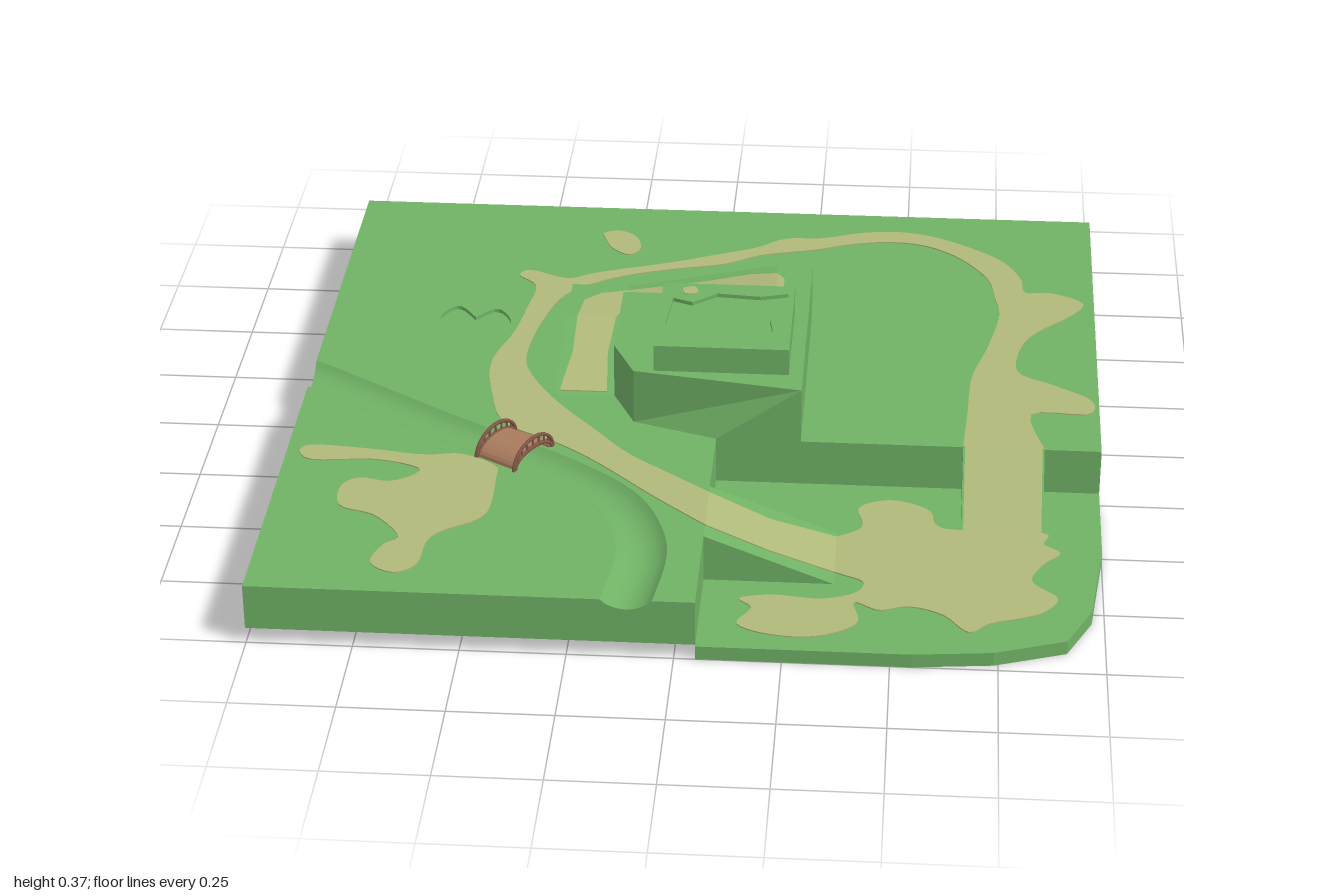
import * as THREE from 'three';

const mat = (name, color) => new THREE.MeshStandardMaterial({ name, color, side: THREE.DoubleSide });
const grass = mat('grass', 0x70b265);
const sand = mat('sand', 0xb0b97a);
const deckWood = mat('deck wood', 0xa97b5d);
const railWood = mat('rail wood', 0x835745);

const TOP = 0.155, LOW = 0.035, SKIRT = 0.04, TIER = 0.3, PEAK = 0.37, LEDGE = 0.225;

// Flat list of hundredths -> plan points (x, z)
const plan = (a) => {
  const out = [];
  for (let i = 0; i < a.length; i += 2) out.push(new THREE.Vector2(a[i] / 100, a[i + 1] / 100));
  return out;
};
const smooth = (a) => {
  const p = plan(a);
  return new THREE.SplineCurve(p).getPoints(p.length * 4);
};
const blob = (a) => smooth([...a, a[0], a[1]]).slice(0, -1);
const at = (pts, y) => pts.map((p) => new THREE.Vector3(p.x, y, p.y));

export function createModel() {
  const model = new THREE.Group();
  model.name = 'terrain';

  const add = (name, geometry, material, parent = model) => {
    const m = new THREE.Mesh(geometry, material);
    m.name = name;
    parent.add(m);
    return m;
  };

  // Horizontal sheet with optional holes
  const sheet = (name, pts, y, holes = []) => {
    const s = new THREE.Shape(pts);
    s.holes = holes.map((h) => new THREE.Path(h));
    add(name, new THREE.ShapeGeometry(s).rotateX(Math.PI / 2).translate(0, y, 0), grass);
  };

  // Surface between rows of points; flat unless soft
  const loft = (name, rows, soft = false) => {
    const n = rows[0].length, index = [];
    for (let r = 0; r < rows.length - 1; r++) {
      for (let i = 0; i < n - 1; i++) {
        const a = r * n + i, b = a + n;
        index.push(a, b, a + 1, a + 1, b, b + 1);
      }
    }
    let g = new THREE.BufferGeometry().setFromPoints(rows.flat());
    g.setIndex(index);
    if (!soft) g = g.toNonIndexed();
    g.computeVertexNormals();
    add(name, g, grass);
  };
  const v = (x, y, z) => new THREE.Vector3(x, y, z);
  const wall = (name, top, bottom) =>
    loft(name, [top, top.map((p) => v(p.x, bottom, p.z))]);

  // Thin painted trail lying on a plane y = height(x, z), seen from both sides
  const trail = (name, pts, height) => {
    const g = new THREE.ExtrudeGeometry(new THREE.Shape(pts), { depth: 0.006, bevelEnabled: false });
    g.rotateX(Math.PI / 2).translate(0, 0.003, 0);
    const p = g.attributes.position;
    for (let i = 0; i < p.count; i++) p.setY(i, p.getY(i) + height(p.getX(i), p.getZ(i)));
    g.computeVertexNormals();
    add(name, g, sand);
  };

  // Shallow hollow: floor and rim
  const hollow = (name, pts, y) => {
    sheet(name + 'Floor', pts, y - 0.01);
    wall(name + 'Rim', at([...pts, pts[0]], y), y - 0.01);
  };

  // Stream bed, curved in section
  const centre = new THREE.SplineCurve(plan(
    [-100, -1, -82, 11, -64, 23, -44, 35, -29, 45, -18, 55, -12, 66, -9, 80, -11, 100]));
  const north = [], south = [], steps = 40;
  for (let i = 0; i <= steps; i++) {
    const c = centre.getPoint(i / steps), t = centre.getTangent(i / steps);
    north.push(new THREE.Vector2(c.x + t.y * 0.06, c.y - t.x * 0.06));
    south.push(new THREE.Vector2(c.x - t.y * 0.06, c.y + t.x * 0.06));
  }
  north[0].set(-1, -0.08);
  south[0].set(-1, 0.065);
  north[steps].set(-0.05, 1);
  south[steps].set(-0.17, 1);
  south.forEach((p) => { p.x = Math.max(p.x, -1); p.y = Math.min(p.y, 1); });
  const bed = north.map((n, i) => {
    const row = [];
    for (let k = 0; k <= 10; k++) {
      const t = k / 10, q = n.clone().lerp(south[i], t);
      row.push(v(q.x, TOP - 0.025 * Math.sin(Math.PI * t) ** 0.7, q.y));
    }
    return row;
  });
  loft('streamBed', bed, true);

  // Upper ground on both sides of the stream, left open under the hill
  const pond = blob([-62, -34, -67, -40, -71, -35, -70, -30, -66, -25, -60, -23, -53, -27, -53, -34, -57, -39]);
  sheet('upperGround', [
    ...plan([-100, -100, 100, -100, 100, 25, 26, 25, 26, -41, -37, -41, -37, 5, -22, 5, -16, 18, 5, 25, 5, 100]),
    ...north.slice().reverse()], TOP, [pond]);
  sheet('streamSideGround', [...south, new THREE.Vector2(-1, 1)], TOP);
  hollow('pond', pond, TOP);

  // Outer skirt, dipping where the stream leaves
  wall('outerSkirt', [v(0.05, TOP, 1), ...bed[steps], v(-1, TOP, 1), ...bed[0].slice().reverse(),
    v(-1, TOP, -1), v(1, TOP, -1), v(1, TOP, 0.25)], SKIRT);

  // Lower ground, open under both ramps
  const rim = plan([100, 25, 100, 52, 97, 79, 91, 92, 74, 98, 55, 100, 5, 100]);
  sheet('lowerGround', [
    ...plan([5, 25, 66, 25, 66, 45, 86, 45, 86, 25]), ...rim,
    ...plan([5, 71, 36, 71, 36, 48, 5, 48])], LOW);
  wall('lowerSkirt', at(rim, LOW), 0);
  for (const c of [[5, 100, 5, 71], [5, 48, 5, 25, 66, 25], [86, 25, 100, 25]])
    wall('cliff', at(plan(c), TOP), LOW);

  // Ramps between the two levels
  loft('sideRamp', [[v(0.05, TOP, 0.48), v(0.05, TOP, 0.71)], [v(0.36, LOW, 0.48), v(0.36, LOW, 0.71)]]);
  for (const z of [0.48, 0.71]) wall('sideRampCheek', [v(0.05, TOP, z), v(0.36, LOW, z)], LOW);
  loft('frontRamp', [[v(0.66, TOP, 0.25), v(0.86, TOP, 0.25)], [v(0.66, LOW, 0.45), v(0.86, LOW, 0.45)]]);
  for (const x of [0.66, 0.86]) wall('frontRampCheek', [v(x, TOP, 0.25), v(x, LOW, 0.45)], LOW);

  // Hill: main tier, slanting front, ledge and rising ramps
  const square = plan([-11, -16, 22.5, -16, 22.5, 17.5, -11, 17.5]);
  sheet('hillTier', plan([-22, -23.5, 17, -23.5, 17, -41, 26, -41, 26, 25, -16, 18, -22, 5]), TIER, [square]);
  loft('hillFront', [
    [v(-0.22, TIER, 0.05), v(-0.16, TIER, 0.18), v(0.26, TIER, 0.25), v(0.26, TIER, 0.25)],
    [v(-0.22, TOP, 0.05), v(-0.16, TOP, 0.18), v(0.05, TOP, 0.25), v(0.26, TOP, 0.25)]]);
  wall('hillOuterWall', [v(0.26, TIER, 0.25), v(0.26, TIER, -0.41), v(0.17, TIER, -0.41),
    v(-0.22, LEDGE, -0.41), v(-0.37, LEDGE, -0.41), v(-0.37, LEDGE, -0.235), v(-0.37, TOP, 0.05)], TOP);
  loft('hillInnerWall', [
    [v(0.17, TIER, -0.235), v(-0.22, TIER, -0.235), v(-0.22, TIER, 0.05)],
    [v(0.17, TIER, -0.235), v(-0.22, LEDGE, -0.235), v(-0.22, TOP, 0.05)]]);
  loft('hillBackRamp', [-0.41, -0.235].map((z) =>
    [v(-0.37, LEDGE, z), v(-0.22, LEDGE, z), v(0.17, TIER, z)]));
  loft('hillSideRamp', [-0.37, -0.22].map((x) => [v(x, LEDGE, -0.235), v(x, TOP, 0.05)]));

  // Summit block with a shallow hollow
  const crater = plan([-8, -8, -3, -6, 3, -11, 14, -10, 21, -12, 21, -2, 17, 2, 18, 8, 5, 16, -1, 11, -9, 6]);
  sheet('summit', square, PEAK, [crater]);
  wall('summitWall', at([...square, square[0]], PEAK), TIER);
  hollow('crater', crater, PEAK);

  // Sandy trails
  const flat = (y) => () => y;
  trail('loopTrail', [
    ...smooth([86, 25, 83, 8, 97, 7, 98, 0, 89, -7, 80, -13, 80, -24, 84, -34, 94, -45, 97, -52, 89, -57, 82, -57,
      81, -64, 77, -73, 70, -80, 59, -87, 49, -90, 38, -89, 27, -85, 17, -84, 9, -78, -2, -73, -13, -68, -32, -61,
      -40, -57, -50, -61, -53, -58, -48, -52, -49, -40, -51, -26, -55, -10, -53, 6, -48, 21, -34, 30, -23, 39,
      -8, 54, 5, 66]),
    ...smooth([5, 51, -5, 43, -16, 34, -26, 22, -35, 11, -42, 0, -46, -10, -46, -21, -44, -34, -41, -45, -36, -52,
      -26, -59, -13, -64, 1, -68, 11, -74, 25, -78, 35, -82, 46, -84, 56, -82, 65, -75, 72, -64, 74, -53, 75, -43,
      72, -26, 68, -10, 67, 8, 66, 25])], flat(TOP));
  trail('streamSideTrail', blob([-97, 38, -94, 35, -80, 36, -66, 38, -57, 37, -48, 42, -47, 48, -47, 62, -50, 68,
    -57, 73, -60, 78, -61, 88, -66, 92, -72, 88, -70, 80, -67, 76, -74, 67, -83, 63, -84, 54, -80, 50, -72, 51,
    -66, 45, -77, 41, -93, 42]), flat(TOP));
  trail('sandPatch', blob([-33, -84, -29, -86, -24, -83, -22, -76, -25, -72, -30, -76]), flat(TOP));
  trail('lowerTrail', smooth([36, 50, 42, 45, 41, 36, 49, 32, 58, 36, 60, 43, 66, 45, 86, 45, 86, 50, 90, 54,
    86, 59, 83, 67, 89, 74, 86, 80, 81, 83, 73, 86, 68, 90, 62, 83, 54, 80, 47, 82, 41, 79, 42, 88, 33, 94,
    22, 94, 14, 90, 17, 83, 14, 79, 22, 77, 33, 78, 41, 75, 43, 70, 38, 67, 36, 66]), flat(LOW));
  trail('sideRampTrail', plan([5, 51, 20, 53, 36, 50, 36, 66, 20, 67, 5, 66]),
    (x) => TOP - (TOP - LOW) * (x - 0.05) / 0.31);
  trail('frontRampTrail', plan([66.5, 25, 85.5, 25, 85.5, 45, 66.5, 45]),
    (x, z) => TOP - (TOP - LOW) * (z - 0.25) / 0.2);
  trail('hillSideTrail', plan([-34, -23.5, -34, -10, -36, 4, -24, 4, -25, -10, -24, -23.5]),
    (x, z) => LEDGE - (LEDGE - TOP) * (z + 0.235) / 0.285);
  trail('ledgeTrail', plan([-34, -23.5, -33, -32, -29, -36, -22, -38, -22, -28, -24, -23.5]), flat(LEDGE));
  trail('hillBackTrail', plan([-22, -38, -2, -37, 10, -37.5, 17, -36, 17, -24, 10, -25, -2, -26, -22, -28]),
    (x) => LEDGE + (TIER - LEDGE) * (x + 0.22) / 0.39);
  trail('tierTrail', plan([17, -36, 19, -33, 19, -24, 17, -22]), flat(TIER));
  trail('summitPatch', blob([-6, -13, -3, -14, -2, -11, -5, -10]), flat(PEAK));

  // Arched bridge with railings
  const bridge = new THREE.Group();
  bridge.name = 'bridge';
  bridge.position.set(-0.44, TOP, 0.345);
  bridge.rotation.y = 1.02;
  model.add(bridge);
  const arch = (half, rise, y0 = 0) => {
    const p = [];
    for (let i = 0; i <= 14; i++) {
      const a = Math.PI * (1 - i / 14);
      p.push(new THREE.Vector2(Math.cos(a) * half, y0 + Math.sin(a) * rise));
    }
    return p;
  };
  const deck = new THREE.Shape([...arch(0.072, 0.035), ...arch(0.064, 0.025).reverse()]);
  add('bridgeDeck', new THREE.ExtrudeGeometry(deck, { depth: 0.116, bevelEnabled: false })
    .translate(0, 0, -0.058), deckWood, bridge);
  for (const side of [-0.058, 0.058]) {
    const line = (half, rise) =>
      new THREE.CatmullRomCurve3(arch(half, rise).map((p) => v(p.x, p.y, side)));
    add('bridgeRail', new THREE.TubeGeometry(line(0.078, 0.058), 20, 0.005, 6), railWood, bridge);
    add('bridgeBeam', new THREE.TubeGeometry(line(0.072, 0.033), 20, 0.005, 6), railWood, bridge);
    for (let i = 1; i < 10; i++) {
      const a = Math.PI * i / 10, low = 0.033 * Math.sin(a), high = 0.058 * Math.sin(a);
      add('bridgePost', new THREE.CylinderGeometry(0.003, 0.003, high - low, 6)
        .translate(Math.cos(a) * 0.075, (low + high) / 2, side), railWood, bridge);
    }
  }
  return model;
}
